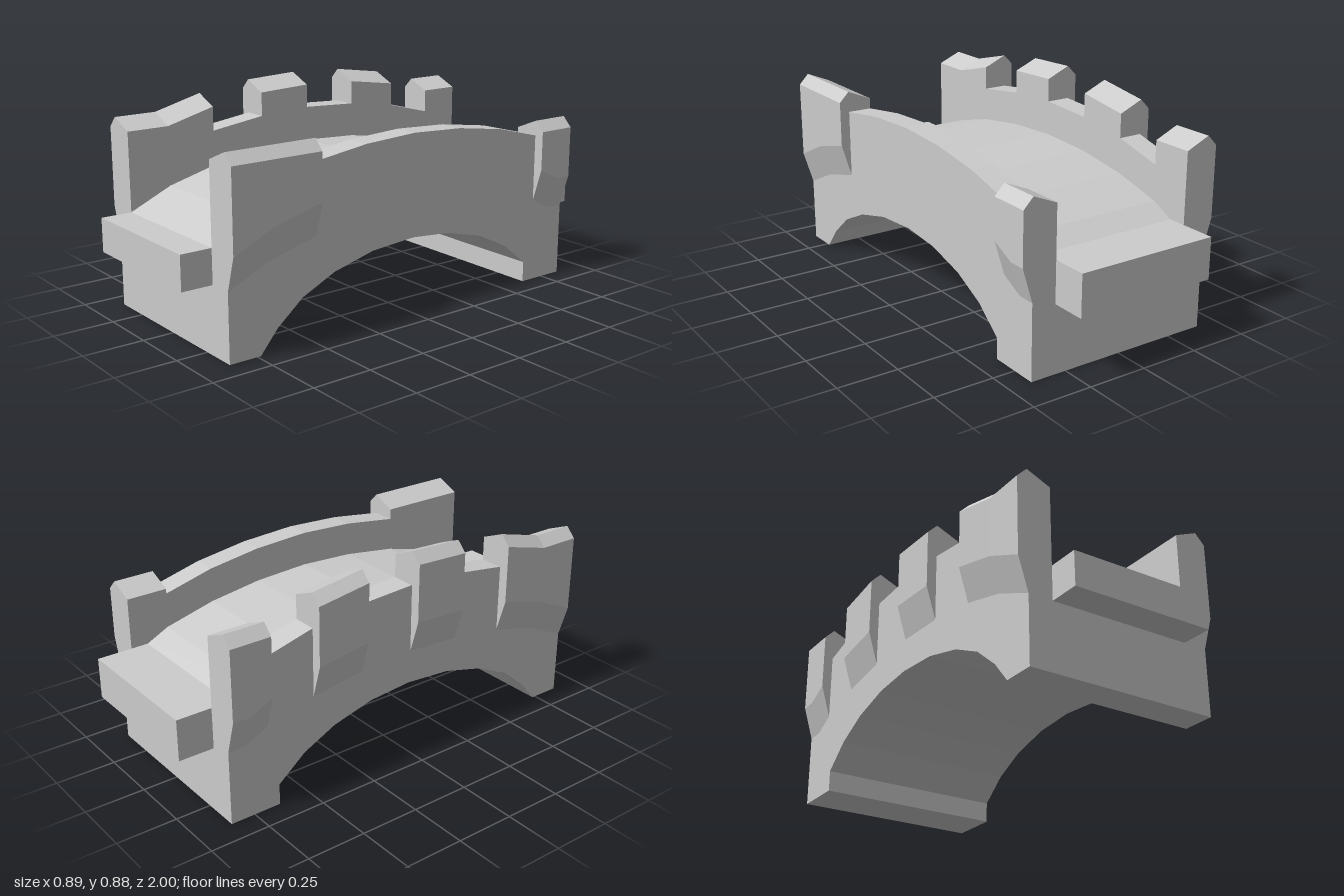
import * as THREE from 'three';

const INNER = 0.302, OUTER = 0.404, FLARE = 0.446;
const FRONT = 0.87, BACK = -0.853;

// Arched deck line as [z, y], back to front
const DECK = [
  [BACK, 0.45], [-0.78, 0.45], [-0.685, 0.497], [-0.47, 0.552], [-0.24, 0.585],
  [0, 0.597], [0.24, 0.585], [0.48, 0.552], [0.69, 0.497], [FRONT, 0.416],
];
// Underside of the arch, front to back
const ARCH = [
  [0.735, 0], [0.66, 0.09], [0.545, 0.185], [0.395, 0.255], [0.205, 0.303], [0, 0.318],
  [-0.19, 0.302], [-0.37, 0.255], [-0.515, 0.185], [-0.635, 0.088], [-0.635, 0],
];

function deckY(z) {
  for (let i = 1; i < DECK.length; i++) {
    const [z0, y0] = DECK[i - 1], [z1, y1] = DECK[i];
    if (z <= z1) return y0 + (y1 - y0) * (z - z0) / (z1 - z0);
  }
  return DECK[DECK.length - 1][1];
}

// Extrude a [z, y] outline between two x positions
function extrudeAcross(outline, x0, x1) {
  const shape = new THREE.Shape(outline.map(([z, y]) => new THREE.Vector2(z, y)));
  const geo = new THREE.ExtrudeGeometry(shape, { depth: x1 - x0, bevelEnabled: false });
  return geo.rotateY(-Math.PI / 2).translate(x1, 0, 0);
}

// Pointed merlon with a corbelled outer foot, lofted along z
function merlonGeometry(side, stations) {
  const rings = stations.map(([z, ridge]) => {
    const d = deckY(z), eave = ridge - 0.043;
    return [
      [INNER, d - 0.14], [OUTER, d - 0.14], [FLARE, d],
      [FLARE, eave], [OUTER, ridge], [INNER, eave],
    ].map(([x, y]) => [x * side, y, z]);
  });
  const pos = [];
  const tri = (a, b, c) => pos.push(...a, ...(side > 0 ? b : c), ...(side > 0 ? c : b));
  const n = 6, first = rings[0], last = rings[rings.length - 1];
  for (let r = 1; r < rings.length; r++) {
    const a = rings[r - 1], b = rings[r];
    for (let i = 0; i < n; i++) {
      const j = (i + 1) % n;
      tri(a[i], a[j], b[j]);
      tri(a[i], b[j], b[i]);
    }
  }
  for (let i = 1; i < n - 1; i++) {
    tri(last[0], last[i], last[i + 1]);
    tri(first[0], first[i + 1], first[i]);
  }
  const geo = new THREE.BufferGeometry();
  geo.setAttribute('position', new THREE.Float32BufferAttribute(pos, 3));
  geo.computeVertexNormals();
  return geo;
}

export function createModel() {
  const group = new THREE.Group();
  const stone = new THREE.MeshStandardMaterial({ color: 0xcccccc });
  stone.name = 'stone';
  const add = (name, geo) => {
    const mesh = new THREE.Mesh(geo, stone);
    mesh.name = name;
    group.add(mesh);
  };

  // Arch body with deck
  add('archBody', extrudeAcross([...DECK, [FRONT, 0], ...ARCH, [BACK, 0]], -OUTER, OUTER));

  // Landing slabs at both ends
  const slab = (name, z0, z1, y0, y1) => add(name,
    new THREE.BoxGeometry(INNER * 2, y1 - y0, z1 - z0).translate(0, (y0 + y1) / 2, (z0 + z1) / 2));
  slab('frontLanding', 0.86, 1, 0.276, 0.416);
  slab('backLanding', -1, -0.84, 0.28, 0.45);

  // Low parapets following the deck
  const ends = [-0.7, 0.49];
  const zs = [ends[0], ...DECK.map((p) => p[0]).filter((z) => z > ends[0] && z < ends[1]), ends[1]];
  const parapet = [
    ...zs.map((z) => [z, deckY(z) + 0.145]),
    ...zs.slice().reverse().map((z) => [z, deckY(z) - 0.01]),
  ];
  add('leftParapet', extrudeAcross(parapet, INNER, OUTER));
  add('rightParapet', extrudeAcross(parapet, -OUTER, -INNER));

  // Merlons as [z, ridge height] stations
  add('leftFrontMerlon', merlonGeometry(1, [[0.48, 0.785], [0.69, 0.785], [FRONT, 0.785]]));
  add('leftBackMerlon', merlonGeometry(1, [[BACK, 0.707], [-0.78, 0.707], [-0.68, 0.707]]));
  add('rightFrontMerlon', merlonGeometry(-1, [[0.48, 0.84], [0.69, 0.785], [FRONT, 0.785]]));
  add('rightFrontMiddleMerlon', merlonGeometry(-1, [[0.005, 0.883], [0.24, 0.873]]));
  add('rightBackMiddleMerlon', merlonGeometry(-1, [[-0.47, 0.84], [-0.24, 0.873]]));
  add('rightBackMerlon', merlonGeometry(-1, [[BACK, 0.785], [-0.78, 0.785], [-0.68, 0.785]]));

  return group;
}
